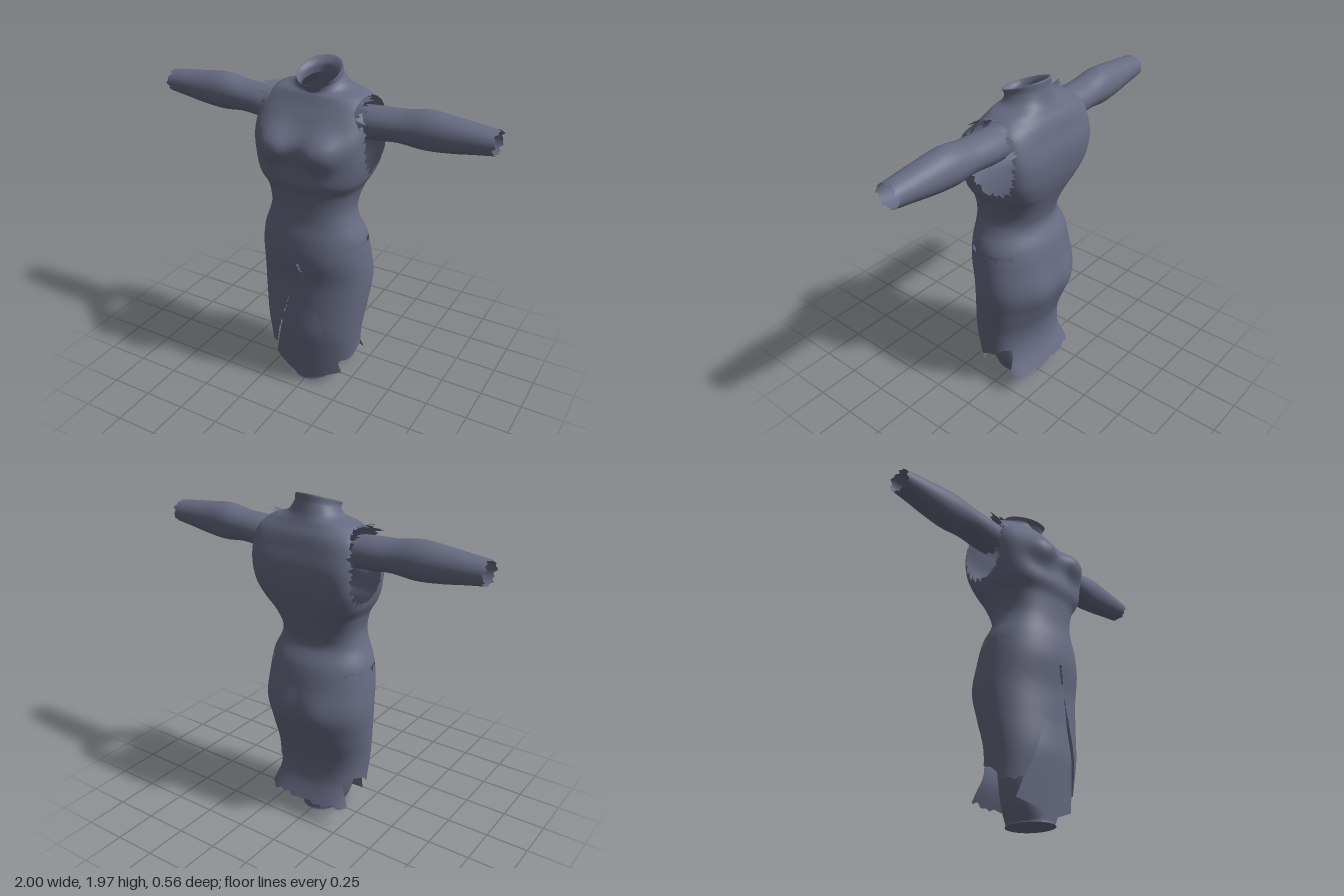
import * as THREE from 'three';

const cloth = new THREE.MeshStandardMaterial({ color: 0x676b82, side: THREE.DoubleSide });
cloth.name = 'slate cloth';

const clamp01 = (t) => Math.min(1, Math.max(0, t));
const bump = (d, s) => Math.exp(-((d / s) ** 2));
// ragged offset in -1..1 for torn edges
const jag = (a) => 0.5 * (Math.sin(19 * a) + Math.sin(43 * a + 1));
const spow = (v, e) => Math.sign(v) * Math.abs(v) ** e;

// smooth interpolation through the rows of a section table
function sample(table, v) {
  const f = v * (table.length - 1);
  const i = Math.min(Math.floor(f), table.length - 2);
  const t = f - i;
  const at = (k) => table[Math.min(table.length - 1, Math.max(0, k))];
  const [a, b, c, d] = [at(i - 1), at(i), at(i + 1), at(i + 2)];
  return b.map((p, k) => 0.5 * (2 * p + (c[k] - a[k]) * t
    + (2 * a[k] - 5 * p + 4 * c[k] - d[k]) * t * t
    + (3 * p - a[k] - 3 * c[k] + d[k]) * t * t * t));
}

// closed tube surface, cut cleanly where the field keep(x, y, z) falls below zero
function loft(name, cols, rows, point, keep = () => 1) {
  const pts = [], idx = [];
  for (let r = 0; r <= rows; r++) {
    for (let c = 0; c < cols; c++) pts.push(...point((c / cols) * Math.PI * 2, r / rows));
  }
  for (let r = 0; r < rows; r++) {
    for (let c = 0; c < cols; c++) {
      const a = r * cols + c, b = r * cols + ((c + 1) % cols);
      idx.push(a, a + cols, b, b, a + cols, b + cols);
    }
  }
  const full = new THREE.BufferGeometry();
  full.setAttribute('position', new THREE.Float32BufferAttribute(pts, 3));
  full.setIndex(idx);
  full.computeVertexNormals();
  const nor = full.attributes.normal.array;
  const corners = [];
  for (let i = 0; i < pts.length; i += 3) {
    const p = pts.slice(i, i + 3);
    corners.push([...p, ...nor.slice(i, i + 3), keep(...p)]);
  }
  const pos = [], normals = [];
  for (let k = 0; k < idx.length; k += 3) {
    const poly = [];
    for (let j = 0; j < 3; j++) {
      const p = corners[idx[k + j]], q = corners[idx[k + ((j + 1) % 3)]];
      if (p[6] >= 0) poly.push(p);
      if ((p[6] >= 0) !== (q[6] >= 0)) {
        const t = p[6] / (p[6] - q[6]);
        poly.push(p.map((n, m) => n + (q[m] - n) * t));
      }
    }
    for (let j = 1; j < poly.length - 1; j++) {
      for (const p of [poly[0], poly[j], poly[j + 1]]) {
        pos.push(p[0], p[1], p[2]);
        normals.push(p[3], p[4], p[5]);
      }
    }
  }
  const g = new THREE.BufferGeometry();
  g.setAttribute('position', new THREE.Float32BufferAttribute(pos, 3));
  g.setAttribute('normal', new THREE.Float32BufferAttribute(normals, 3));
  const mesh = new THREE.Mesh(g, cloth);
  mesh.name = name;
  return mesh;
}

// dress sections: y, half width, front z, back z, front and back roundness, collar tilt
const DRESS = [
  [0.10, 0.29, 0.165, -0.22, 0.85, 0.5, 0],
  [0.25, 0.285, 0.195, -0.16, 0.9, 0.7, 0],
  [0.40, 0.30, 0.217, -0.165, 0.95, 0.85, 0],
  [0.58, 0.323, 0.213, -0.225, 0.95, 0.95, 0],
  [0.74, 0.336, 0.213, -0.265, 0.95, 0.95, 0],
  [0.90, 0.325, 0.238, -0.243, 0.95, 0.95, 0],
  [1.02, 0.305, 0.235, -0.215, 0.95, 0.95, 0],
  [1.12, 0.262, 0.218, -0.165, 0.9, 0.9, 0],
  [1.20, 0.245, 0.215, -0.175, 0.85, 0.85, 0],
  [1.30, 0.265, 0.222, -0.21, 0.8, 0.73, 0],
  [1.38, 0.305, 0.245, -0.24, 0.73, 0.58, 0],
  [1.48, 0.328, 0.235, -0.265, 0.64, 0.43, 0],
  [1.60, 0.335, 0.22, -0.272, 0.6, 0.38, 0],
  [1.70, 0.333, 0.16, -0.25, 0.62, 0.42, 0],
  [1.77, 0.325, 0.11, -0.23, 0.75, 0.6, 0],
  [1.82, 0.26, 0.08, -0.20, 0.85, 0.8, 0.02],
  [1.85, 0.165, 0.068, -0.18, 0.95, 0.95, 0.12],
  [1.89, 0.125, 0.075, -0.165, 1, 1, 0.28],
  [1.925, 0.12, 0.10, -0.16, 1, 1, 0.38],
  [1.90, 0.098, 0.085, -0.125, 1, 1, 0.38],
  [1.86, 0.098, 0.07, -0.125, 1, 1, 0.3],
];

function dressPoint(a, v) {
  const [y, hw, zf, zb, ef, eb, tilt] = sample(DRESS, v);
  const s = Math.sin(a);
  const e = s > 0 ? ef : eb;
  const x = hw * spow(Math.cos(a), e);
  let z = (zf + zb) / 2 + ((zf - zb) / 2) * spow(s, e);
  const ax = Math.abs(x);
  // bust in front, seat behind
  if (s > 0) {
    const d = ((ax - 0.14) / 0.1) ** 2 + ((y - 1.575) / 0.1) ** 2;
    z += 0.046 * Math.exp(-(d ** 1.5)) + 0.02 * bump(ax, 0.2) * bump(y - 1.57, 0.08);
  } else z += 0.018 * s * bump(ax - 0.12, 0.1) * bump(y - 0.72, 0.15);
  return [x, y - tilt * (z + 0.03), z];
}

// hem height from back to front
const HEM = [[-0.3, 0.12], [-0.14, 0.13], [-0.11, 0.31], [0.0, 0.26], [0.08, 0.21], [0.3, 0.19]];
function hem(z) {
  const i = Math.max(1, HEM.findIndex((p) => z <= p[0]));
  const [p, q] = [HEM[i - 1], HEM[i]];
  return p[1] + (q[1] - p[1]) * clamp01((z - p[0]) / (q[0] - p[0]));
}

function dressField(x, y, z) {
  const ax = Math.abs(x);
  // armholes, raggedest at the back and below
  const dz = (z + 0.068) / 0.145, dy = (y - 1.615) / 0.2;
  const ang = Math.atan2(dy, dz);
  const rag = (dy < 0.6 ? 0.3 : 0.06) * jag(ang * 1.1 + Math.sign(x));
  const armhole = Math.max(0.16 - ax, Math.abs(dz) ** 2.6 + Math.abs(dy) ** 2.6 - 1 - rag);
  // torn hips
  const drop = 0.016 + 0.018 * jag(z * 4);
  const hip = Math.max(0.2 - ax, Math.abs(z + 0.01) - 0.135, y - 1.003, 1.0 - drop - y);
  // front opening
  const right = 0.016 + 0.3 * (0.88 - y) + 0.004 * jag(y * 3);
  const left = y < 0.65 ? -0.06 - 0.31 * (0.65 - y) - 0.005 * jag(y * 4) : right - 0.02;
  const opening = Math.max(0.03 - z, y - 0.88, left - x, x - right);
  return Math.min(armhole, hip, opening, y - hem(z) - 0.012 * jag(x * 2 + z));
}

// sleeve sections: x, centre y, radius y, centre z, radius z
const SLEEVE = [
  [0.24, 1.685, 0.088, -0.045, 0.1],
  [0.36, 1.692, 0.09, -0.047, 0.103],
  [0.48, 1.70, 0.088, -0.047, 0.1],
  [0.62, 1.705, 0.105, -0.048, 0.1],
  [0.76, 1.705, 0.093, -0.046, 0.092],
  [0.88, 1.708, 0.077, -0.045, 0.083],
  [1.0, 1.71, 0.062, -0.045, 0.073],
];

function sleeve(side) {
  return loft(side > 0 ? 'leftSleeve' : 'rightSleeve', 64, 60, (a, v) => {
    const [x, cy, ry, cz, rz] = sample(SLEEVE, v);
    return [side * x, cy + ry * Math.sin(a), cz + rz * Math.cos(a)];
  }, (x, y, z) => {
    const ang = Math.atan2(y - 1.7, z + 0.045);
    const ax = Math.abs(x);
    return Math.min(ax - 0.27 - 0.025 * jag(ang * 0.5), 0.987 + 0.012 * jag(ang * 0.3 + 1) - ax);
  });
}

// torn shoulder flap over the top and front of each armhole
function shoulderFlap(side) {
  return loft(side > 0 ? 'leftShoulderFlap' : 'rightShoulderFlap', 72, 12, (a, v) => [
    side * (0.19 + 0.16 * v),
    1.685 + (0.115 + 0.04 * v) * Math.sin(a),
    -0.045 + (0.15 - 0.01 * v) * Math.cos(a),
  ], (x, y, z) => {
    const ang = Math.atan2(y - 1.685, z + 0.045);
    return Math.min(0.3 + 0.045 * jag(ang * 0.6 + 0.3) - Math.abs(x), ang + 0.2, 1.75 - ang);
  });
}

// curved front panel, widening to a pointed hem
function frontPanel() {
  const g = new THREE.PlaneGeometry(1, 1, 24, 30);
  const p = g.attributes.position;
  for (let i = 0; i < p.count; i++) {
    const u = p.getX(i) * 2, v = 0.5 - p.getY(i);
    const bottom = 0.03 + 0.08 * Math.abs(u);
    const y = 0.8 + (bottom - 0.8) * v;
    const x = 0.03 - 0.025 * v + u * (0.06 + 0.165 * v);
    const front = 0.207 - 0.042 * clamp01((0.4 - y) / 0.4) - 0.017 * clamp01((y - 0.35) / 0.2);
    p.setXYZ(i, x, y, front - 1.3 * x * x);
  }
  g.computeVertexNormals();
  const mesh = new THREE.Mesh(g, cloth);
  mesh.name = 'frontPanel';
  return mesh;
}

// underskirt sections with a closed foot: y, half width, front z, back z
const UNDER = [
  [0.02, 0.002, 0.017, 0.013],
  [0.008, 0.118, 0.15, -0.115],
  [0.02, 0.124, 0.155, -0.12],
  [0.12, 0.175, 0.162, -0.125],
  [0.28, 0.21, 0.178, -0.13],
  [0.45, 0.225, 0.18, -0.14],
];
// bodice edge tucked under the skirt
const WAIST = [[0.94, 0.3, 0.224, -0.217], [1.02, 0.292, 0.222, -0.203], [1.1, 0.264, 0.212, -0.165]];

const tube = (name, table) => loft(name, 64, 24, (a, v) => {
  const [y, hw, zf, zb] = sample(table, v);
  return [hw * Math.cos(a), y, (zf + zb) / 2 + ((zf - zb) / 2) * Math.sin(a)];
});

export function createModel() {
  const model = new THREE.Group();
  model.name = 'tornDress';
  model.add(loft('dressBody', 160, 190, dressPoint, dressField));
  for (const side of [1, -1]) model.add(sleeve(side), shoulderFlap(side));
  model.add(frontPanel(), tube('underskirt', UNDER), tube('waistLining', WAIST));
  return model;
}
